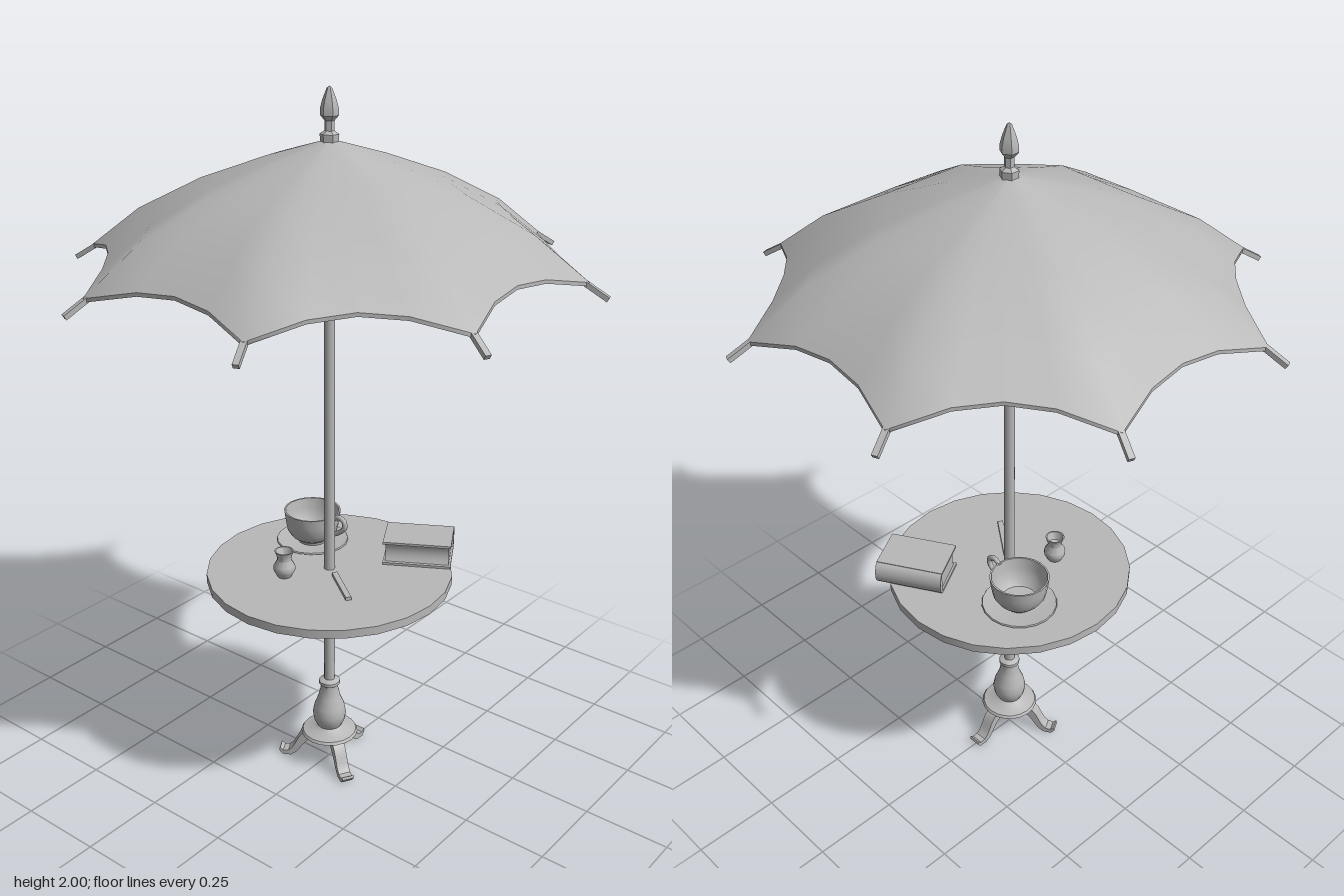
import * as THREE from 'three';
import { toCreasedNormals } from 'three/addons/utils/BufferGeometryUtils.js';

const SECTORS = 32; // four edge segments for each of the eight canopy panels

export function createModel() {
  const model = new THREE.Group();
  const grey = new THREE.MeshStandardMaterial({ color: 0xb8b8b8 });
  grey.name = 'plain grey';

  const add = (name, geometry, parent = model) => {
    const mesh = new THREE.Mesh(geometry, grey);
    mesh.name = name;
    parent.add(mesh);
    return mesh;
  };
  const group = (name, x, y, z) => {
    const g = new THREE.Group();
    g.name = name;
    g.position.set(x, y, z);
    model.add(g);
    return g;
  };
  // Profile points run from the bottom up as [radius, height]
  const lathe = (points, sides, crease = 0.6) => toCreasedNormals(
    new THREE.LatheGeometry(points.map(([r, y]) => new THREE.Vector2(r, y)), sides), crease);

  // Skin through a list of rings, from the centre outwards, facing up or down
  const ringSkin = (rings, facingDown = false) => {
    const pos = [], index = [];
    for (const ring of rings) {
      for (let i = 0; i < SECTORS; i++) {
        const a = (i / SECTORS) * Math.PI * 2 + Math.PI / 8;
        const [r, y] = ring(i);
        pos.push(r * Math.cos(a), y, r * Math.sin(a));
      }
    }
    for (let k = 0; k < rings.length - 1; k++) {
      for (let i = 0; i < SECTORS; i++) {
        const j = (i + 1) % SECTORS;
        const a = k * SECTORS + i, b = k * SECTORS + j, c = a + SECTORS, d = b + SECTORS;
        if (facingDown) index.push(a, c, b, b, c, d);
        else index.push(a, b, c, b, d, c);
      }
    }
    const g = new THREE.BufferGeometry();
    g.setAttribute('position', new THREE.Float32BufferAttribute(pos, 3));
    g.setIndex(index);
    g.computeVertexNormals();
    return g;
  };

  // Canopy: tips on the ribs, scalloped edge between them
  const edge = i => [[0.674, 1.55], [0.592, 1.582], [0.57, 1.592], [0.592, 1.582]][i % 4];
  const PEAK = 1.87, THICK = 0.01;
  const domeRings = [[0.001, 0], [0.25, 0.16], [0.52, 0.37], [0.79, 0.66], [1, 1]].map(([t, drop]) => i => {
    const [r, y] = edge(i);
    return [r * t, PEAK - (PEAK - y) * drop];
  });
  const lowerEdge = i => [edge(i)[0], edge(i)[1] - THICK];
  const canopy = group('canopy', 0, 0, 0);
  add('canopyTop', ringSkin(domeRings), canopy);
  add('canopyEdge', ringSkin([edge, lowerEdge]), canopy);
  add('canopyUnderside', toCreasedNormals(
    ringSkin([() => [0.001, 1.592], () => [0.54, 1.588], lowerEdge], true), 0.3), canopy);

  // Rib ends sticking out past the canopy tips
  for (let i = 0; i < 8; i++) {
    const arm = group('ribEnd', 0, 0, 0);
    arm.rotation.y = Math.PI / 8 + i * Math.PI / 4;
    const rib = add('ribTip', new THREE.BoxGeometry(0.07, 0.013, 0.016), arm);
    rib.position.set(0.694, 1.529, 0);
    rib.rotation.z = -0.55;
  }

  // Finial
  add('finial', lathe([[0, 1.862], [0.024, 1.862], [0.025, 1.882], [0.013, 1.89], [0.013, 1.915],
    [0.024, 1.928], [0.024, 1.945], [0.018, 1.967], [0.007, 1.995], [0, 2]], 6, 0.5));

  // Pole and turned base
  const pole = add('pole', new THREE.CylinderGeometry(0.015, 0.016, 1.62, 12));
  pole.position.y = 1.06;
  add('turnedBase', lathe([[0, 0.085], [0.06, 0.085], [0.085, 0.092], [0.08, 0.1], [0.045, 0.108],
    [0.036, 0.116], [0.046, 0.135], [0.05, 0.158], [0.045, 0.185], [0.033, 0.215], [0.026, 0.245],
    [0.026, 0.256], [0.031, 0.26], [0.031, 0.27], [0.02, 0.277], [0, 0.277]], 20));

  // Three curved legs, one at the back and two towards the front
  const legShape = new THREE.Shape();
  legShape.moveTo(0.03, 0.09);
  legShape.lineTo(0.066, 0.092);
  legShape.bezierCurveTo(0.1, 0.075, 0.1, 0.03, 0.124, 0.016);
  legShape.lineTo(0.14, 0.014);
  legShape.lineTo(0.15, 0.022);
  legShape.lineTo(0.153, 0.014);
  legShape.lineTo(0.142, 0);
  legShape.lineTo(0.116, 0);
  legShape.bezierCurveTo(0.08, 0.02, 0.085, 0.06, 0.03, 0.078);
  const legGeometry = toCreasedNormals(new THREE.ExtrudeGeometry(legShape,
    { depth: 0.036, bevelEnabled: false, curveSegments: 6 }).translate(0, 0, -0.018), 0.6);
  for (let i = 0; i < 3; i++) {
    add('leg', legGeometry).rotation.y = Math.PI / 2 + i * Math.PI * 2 / 3;
  }

  // Table top
  const TABLE = 0.647;
  add('tableTop', new THREE.CylinderGeometry(0.352, 0.352, 0.025, 24)).position.y = TABLE - 0.0125;

  // Cup, saucer and handle
  const cup = group('cupAndSaucer', -0.145, TABLE, -0.1);
  add('saucer', lathe([[0, 0.001], [0.06, 0.001], [0.107, 0.009], [0.105, 0.013], [0.058, 0.006], [0, 0.006]], 20), cup);
  add('cup', lathe([[0, 0.006], [0.042, 0.006], [0.044, 0.014], [0.062, 0.026], [0.075, 0.046], [0.08, 0.075],
    [0.084, 0.105], [0.079, 0.105], [0.074, 0.075], [0.067, 0.045], [0.05, 0.025], [0, 0.02]], 20), cup);
  const handlePath = new THREE.CatmullRomCurve3([[0.08, 0.096], [0.098, 0.108], [0.119, 0.1],
    [0.121, 0.08], [0.104, 0.062], [0.074, 0.045]].map(([x, y]) => new THREE.Vector3(x, y, 0)));
  add('cupHandle', new THREE.TubeGeometry(handlePath, 14, 0.008, 6), cup);

  // Small vase
  const vase = group('smallVase', -0.07, TABLE, 0.117);
  add('vase', lathe([[0, 0], [0.02, 0], [0.031, 0.02], [0.031, 0.033], [0.02, 0.052], [0.02, 0.06],
    [0.028, 0.08], [0.024, 0.08], [0.016, 0.058], [0, 0.05]], 14), vase);

  // Closed book: covers, page block and rounded spine
  const book = group('book', 0.157, TABLE, -0.22);
  book.rotation.y = Math.PI / 6;
  for (const y of [0.004, 0.069]) {
    add('bookCover', new THREE.BoxGeometry(0.196, 0.007, 0.132), book).position.set(0, y, 0.004);
  }
  const pageShape = new THREE.Shape();
  pageShape.moveTo(-0.065, 0.007);
  pageShape.lineTo(0.06, 0.007);
  pageShape.quadraticCurveTo(0.042, 0.037, 0.06, 0.066);
  pageShape.lineTo(-0.065, 0.066);
  add('pages', toCreasedNormals(new THREE.ExtrudeGeometry(pageShape,
    { depth: 0.184, bevelEnabled: false, curveSegments: 6 })
    .translate(0, 0, -0.092).rotateY(-Math.PI / 2), 0.6), book);
  const spineShape = new THREE.Shape();
  spineShape.moveTo(-0.06, 0.0005);
  spineShape.lineTo(-0.06, 0.0725);
  spineShape.bezierCurveTo(-0.084, 0.061, -0.084, 0.013, -0.06, 0.0005);
  add('bookSpine', toCreasedNormals(new THREE.ExtrudeGeometry(spineShape,
    { depth: 0.196, bevelEnabled: false, curveSegments: 8 })
    .translate(0, 0, -0.098).rotateY(-Math.PI / 2), 0.6), book);

  // Thin stick lying on the table
  const stick = add('tableStick', new THREE.BoxGeometry(0.15, 0.01, 0.016));
  stick.position.set(0.099, TABLE + 0.005, 0.07);
  stick.rotation.y = -Math.atan2(0.1, 0.135);

  return model;
}
